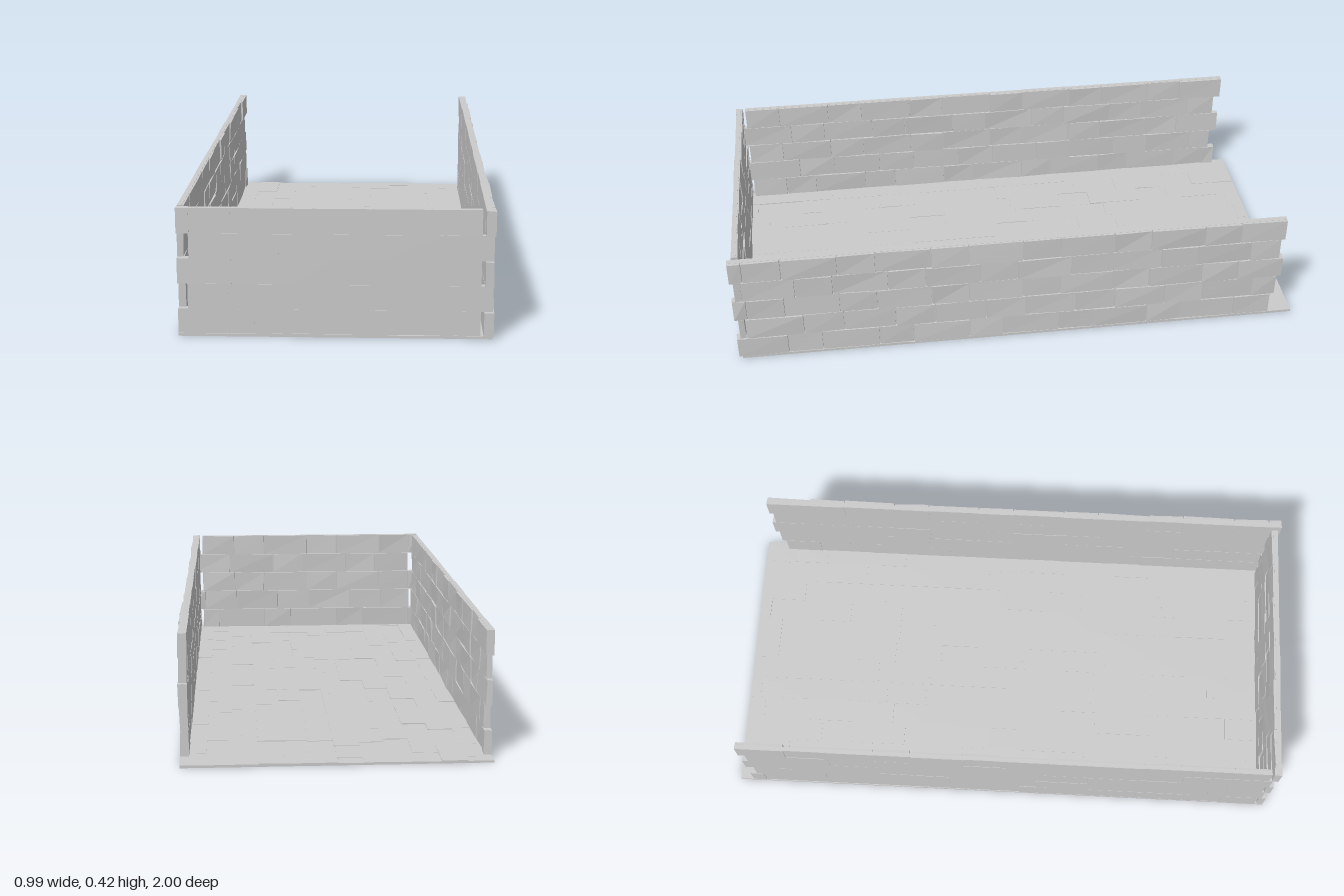
import * as THREE from 'three';

const material = new THREE.MeshStandardMaterial({ color: 0xcccccc, flatShading: true });
const ROWS = [0.01, 0.09, 0.173, 0.255, 0.336, 0.418];
const PERIOD = 0.32;

// Small seeded generator
function seeded(seed) {
  return () => {
    seed = (seed * 16807) % 2147483647;
    return seed / 2147483647;
  };
}

function box(name, x0, x1, y0, y1, z0, z1) {
  const mesh = new THREE.Mesh(new THREE.BoxGeometry(x1 - x0, y1 - y0, z1 - z0), material);
  mesh.position.set((x0 + x1) / 2, (y0 + y1) / 2, (z0 + z1) / 2);
  mesh.name = name;
  return mesh;
}

// Rough brick: flat back, face corners set in and at uneven depths
function brick(x0, x1, y0, y1, z0, z1, rand, rough) {
  const mesh = box('brick', x0, x1, y0, y1, z0, z1);
  const p = mesh.geometry.attributes.position;
  const depth = [0, 1, 2, 3].map(() => rand() * rough);
  for (let i = 0; i < p.count; i++) {
    if (p.getZ(i) < 0) continue;
    const sx = Math.sign(p.getX(i));
    const sy = Math.sign(p.getY(i));
    const corner = (sx > 0 ? 1 : 0) + (sy > 0 ? 2 : 0);
    p.setXYZ(i, p.getX(i) - sx * 0.002, p.getY(i) - sy * 0.001, p.getZ(i) - depth[corner]);
  }
  mesh.geometry.computeVertexNormals();
  return mesh;
}

// Joint positions along a course: long and short bricks alternating
function joints(start, end, shift, long) {
  const list = [start];
  for (let k = -5; k <= 5; k++) {
    for (const u of [k * PERIOD + shift, k * PERIOD + shift + long]) {
      if (u > start + 0.03 && u < end - 0.03) list.push(u);
    }
  }
  list.push(end);
  return list;
}

// Wall along local x, rough face towards +z, back at z = 0
function wall(name, starts, ends, thickness, seed) {
  const group = new THREE.Group();
  group.name = name;
  const rand = seeded(seed);
  const shifts = [0.14, 0.02, 0.14, 0.18, 0.14];
  const longs = [0.12, 0.18, 0.19, 0.13, 0.19];
  for (let r = 0; r < 5; r++) {
    const list = joints(starts[r], ends[r], shifts[r], longs[r]);
    const y0 = ROWS[r], y1 = ROWS[r + 1];
    // mortar core of this course
    group.add(box('mortar', starts[r] + 0.004, ends[r] - 0.004, y0, y1, 0.003, thickness * 0.6));
    for (let i = 0; i < list.length - 1; i++) {
      const back = rand() * 0.0025;
      const face = thickness - rand() * 0.004;
      group.add(brick(list[i], list[i + 1], y0, y1, back, face, rand, 0.006));
    }
  }
  return group;
}

// Floor: flat slab with slightly uneven paving stones
function floor() {
  const group = new THREE.Group();
  group.name = 'floor';
  group.add(box('floorSlab', -0.5, 0.488, 0, 0.005, -1, 0.985));
  const rand = seeded(77);
  const rows = 12;
  for (let r = 0; r < rows; r++) {
    const x0 = -0.5 + (0.988 * r) / rows;
    const x1 = -0.5 + (0.988 * (r + 1)) / rows;
    const list = joints(-1, 0.985, [0, 0.13, 0.05, 0.2][r % 4], 0.14 + 0.03 * (r % 3));
    for (let i = 0; i < list.length - 1; i++) {
      const top = 0.007 + rand() * 0.004;
      group.add(box('pavingStone', x0, x1, 0.004, top, list[i], list[i + 1]));
    }
  }
  return group;
}

export function createModel() {
  const model = new THREE.Group();
  model.name = 'brickEnclosure';
  model.add(floor());

  // Side walls run front to back, rough faces towards +x
  const right = wall('rightWall',
    [-0.952, -0.966, -0.952, -0.966, -0.952],
    [0.95, 0.925, 0.953, 0.93, 0.953], 0.027, 11);
  right.rotation.y = Math.PI / 2;
  right.position.x = -0.5;

  const left = wall('leftWall',
    [-0.998, -0.962, -0.998, -0.962, -0.998],
    [0.915, 0.93, 0.945, 0.93, 0.943], 0.033, 23);
  left.rotation.y = Math.PI / 2;
  left.position.x = 0.46;

  // Front wall interlocks with the side walls, rough face inwards
  const front = wall('frontWall',
    [-0.45, -0.488, -0.45, -0.488, -0.45],
    [0.5, 0.468, 0.5, 0.462, 0.5], 0.03, 41);
  front.rotation.y = Math.PI;
  front.position.z = 0.985;

  model.add(right, left, front);
  return model;
}
